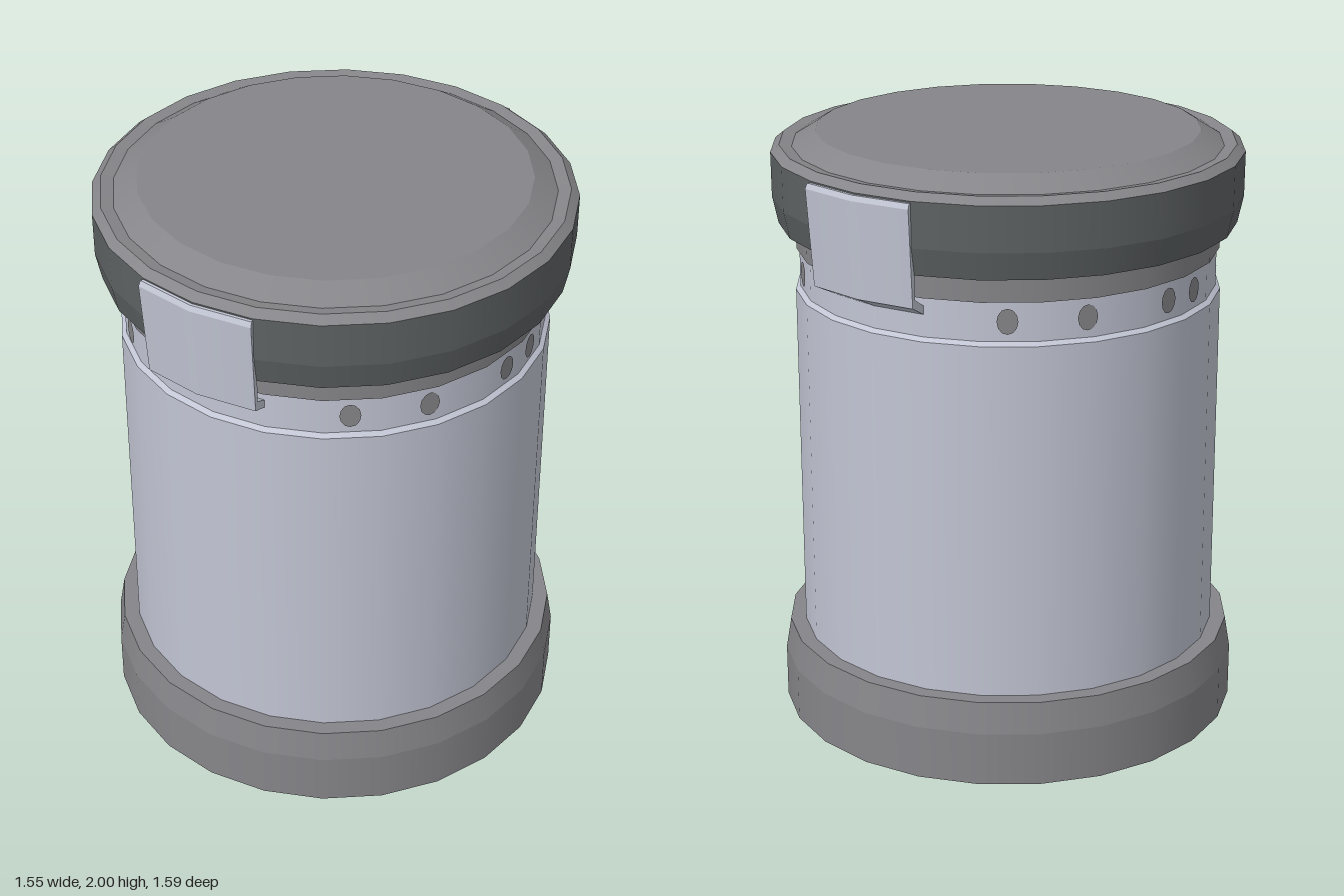
import * as THREE from 'three';
import { mergeGeometries } from 'three/addons/utils/BufferGeometryUtils.js';

const SIDES = 24;
const STEP = (Math.PI * 2) / SIDES;

function material(name, color, side = THREE.FrontSide) {
  const m = new THREE.MeshStandardMaterial({ color, side });
  m.name = name;
  return m;
}

// Lathe that is smooth around the axis but creased at every profile point.
// Profile runs counter-clockwise (bottom, outside, top) as [radius, y].
function creasedLathe(profile, segments = SIDES, start = 0, length = Math.PI * 2) {
  const bands = [];
  for (let i = 0; i < profile.length - 1; i++) {
    const pts = [profile[i], profile[i + 1]].map(([r, y]) => new THREE.Vector2(r, y));
    bands.push(new THREE.LatheGeometry(pts, segments, start, length));
  }
  return mergeGeometries(bands);
}

function addMesh(parent, name, geometry, mat) {
  const mesh = new THREE.Mesh(geometry, mat);
  mesh.name = name;
  parent.add(mesh);
  return mesh;
}

export function createModel() {
  const model = new THREE.Group();
  model.name = 'canister';

  const silver = material('silver', 0xc2c6d4, THREE.DoubleSide);
  const grey = material('grey', 0x86868a);
  const darkGrey = material('dark grey', 0x5e6263);

  // Foot
  addMesh(model, 'base', creasedLathe([
    [0, 0], [0.775, 0], [0.775, 0.18], [0.757, 0.285], [0.69, 0.285],
  ]), grey);

  // Main barrel with a small chamfer, then the narrower neck
  addMesh(model, 'body', creasedLathe([
    [0.705, 0.27], [0.705, 1.472], [0.69, 1.484],
  ]), silver);
  addMesh(model, 'neck', creasedLathe([[0.69, 1.484], [0.69, 1.62]]), silver);

  // Lid: lower collar, dark grip band and bevelled cap
  addMesh(model, 'lidCollar', creasedLathe([
    [0.66, 1.612], [0.7, 1.612], [0.7, 1.71],
  ]), grey);
  addMesh(model, 'lidBand', creasedLathe([
    [0.69, 1.7], [0.755, 1.7], [0.774, 1.79], [0.775, 1.937],
  ]), darkGrey);
  addMesh(model, 'lidCap', creasedLathe([
    [0.775, 1.937], [0.747, 1.96], [0.706, 1.953], [0.63, 2], [0, 2],
  ]), grey);

  // Round marks on the neck, mirrored into all four quadrants
  const markGeometry = new THREE.CircleGeometry(0.042, 12).scale(0.8, 1, 1);
  const marks = new THREE.Group();
  marks.name = 'neckMarks';
  for (const degrees of [6, 32, 53]) {
    const a = THREE.MathUtils.degToRad(degrees);
    for (const sx of [1, -1]) {
      for (const sz of [1, -1]) {
        const x = sx * Math.cos(a), z = sz * Math.sin(a);
        const mark = addMesh(marks, 'neckMark', markGeometry, grey);
        mark.position.set(x * 0.692, 1.55, z * 0.692);
        mark.rotation.y = Math.atan2(x, z);
      }
    }
  }
  model.add(marks);

  // Clips hooking over the lid band at front and back
  const clipProfile = [
    [0.69, 1.557], [0.769, 1.597], [0.793, 1.915], [0.785, 1.932],
    [0.75, 1.932], [0.75, 1.62], [0.69, 1.585], [0.69, 1.557],
  ];
  const clipGeometry = creasedLathe(clipProfile, 2, -STEP, STEP * 2);
  const clipEnd = new THREE.ShapeGeometry(
    new THREE.Shape(clipProfile.slice(0, -1).map(([r, y]) => new THREE.Vector2(r, y))));
  for (const [name, turn] of [['frontClip', 0], ['backClip', Math.PI]]) {
    const clip = new THREE.Group();
    clip.name = name;
    clip.rotation.y = turn;
    addMesh(clip, 'clipPlate', clipGeometry, silver);
    for (const side of [-1, 1]) {
      addMesh(clip, 'clipEnd', clipEnd, silver).rotation.y = side * STEP - Math.PI / 2;
    }
    model.add(clip);
  }

  return model;
}
